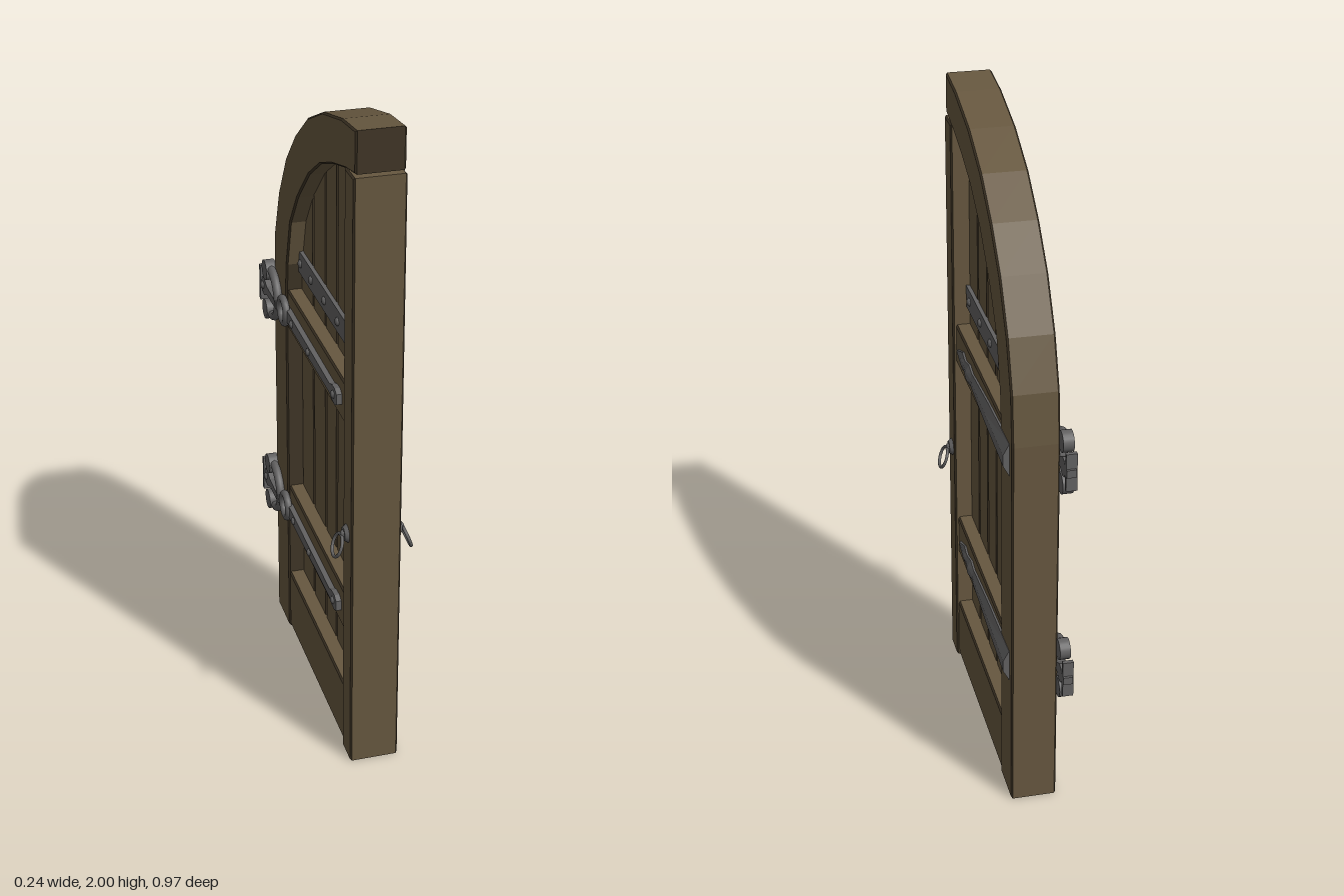
import * as THREE from 'three';

const wood = new THREE.MeshStandardMaterial({ color: 0x66573f });
wood.name = 'oak';
const darkWood = new THREE.MeshStandardMaterial({ color: 0x3f3526 });
darkWood.name = 'dark oak edge';
const iron = new THREE.MeshStandardMaterial({ color: 0x626161 });
iron.name = 'iron';

// Outlines are drawn as [u, y], where u runs from the latch side to the hinge side (u = -z).
const outer = [[-0.48, 2], [-0.347, 1.985], [-0.16, 1.937], [0, 1.863], [0.13, 1.767],
  [0.24, 1.656], [0.33, 1.513], [0.385, 1.365], [0.4, 1.21], [0.4, 0]];
const inner = [[-0.48, 1.88], [-0.39, 1.863], [-0.26, 1.826], [-0.135, 1.778], [-0.013, 1.7],
  [0.114, 1.58], [0.2, 1.465], [0.246, 1.31], [0.257, 1.21], [0.257, 0]];

const toShape = (pts) => new THREE.Shape(pts.map(([u, y]) => new THREE.Vector2(u, y)));
const rect = (u0, u1, y0, y1) => [[u0, y0], [u1, y0], [u1, y1], [u0, y1]];

function add(parent, name, geometry, material) {
  const mesh = new THREE.Mesh(geometry, material);
  mesh.name = name;
  parent.add(mesh);
  return mesh;
}

// Extrudes an outline across the door thickness, from x0 to x1
function slab(pts, x0, x1, bevel) {
  const geo = new THREE.ExtrudeGeometry(toShape(pts), {
    depth: x1 - x0 - 2 * bevel, bevelEnabled: bevel > 0, bevelThickness: bevel,
    bevelSize: bevel, bevelOffset: -bevel, bevelSegments: 1, curveSegments: 16,
  });
  geo.translate(0, 0, x0 + bevel);
  geo.rotateY(Math.PI / 2);
  return geo;
}

// Bevelled timber whose chamfers take the dark edge colour
function timber(parent, name, pts, half, darkEnd = false) {
  const geo = slab(pts, -half, half, 0.005);
  const n = geo.attributes.normal;
  geo.clearGroups();
  for (let i = 0; i < n.count; i += 3) {
    const nx = Math.abs(n.getX(i));
    const dark = (nx > 0.1 && nx < 0.95) || (darkEnd && n.getZ(i) > 0.98);
    geo.addGroup(i, 3, dark ? 1 : 0);
  }
  return add(parent, name, geo, [wood, darkWood]);
}

// Height of the arch underside at u
function archY(u) {
  for (let i = 1; i < 9; i++) {
    const [a, b] = [inner[i - 1], inner[i]];
    if (u <= b[0]) return a[1] + (b[1] - a[1]) * (u - a[0]) / (b[0] - a[0]);
  }
  return inner[8][1];
}

// Domed rivet on the face at x
function rivet(parent, x, y, z, r) {
  const m = add(parent, 'rivet', new THREE.SphereGeometry(r, 12, 8), iron);
  m.scale.x = 0.7;
  m.position.set(x, y, z);
}

// Tapered strap with a raised ridge and spear tip: stations of [u, half height, ridge x]
function spearStrap(parent, y) {
  const stations = [[-0.347, 0.002, 0.073], [-0.27, 0.03, 0.076], [-0.235, 0.018, 0.076],
    [-0.215, 0.022, 0.077], [-0.175, 0.033, 0.081], [-0.13, 0.022, 0.076], [-0.1, 0.026, 0.078],
    [0.1, 0.04, 0.083], [0.37, 0.05, 0.088]];
  const rows = stations.map(([u, h, x]) => [
    [0.064, -h, -u], [0.07, -h, -u], [x, -h * 0.35, -u],
    [x, h * 0.35, -u], [0.07, h, -u], [0.064, h, -u]]);
  const pos = [];
  const tri = (a, b, c) => pos.push(...a, ...b, ...c);
  for (let i = 0; i < rows.length - 1; i++) {
    for (let j = 0; j < 6; j++) {
      const k = (j + 1) % 6;
      tri(rows[i][j], rows[i + 1][j], rows[i + 1][k]);
      tri(rows[i][j], rows[i + 1][k], rows[i][k]);
    }
  }
  const first = rows[0], last = rows[rows.length - 1];
  for (let j = 1; j < 5; j++) {
    tri(first[0], first[j], first[j + 1]);
    tri(last[0], last[j + 1], last[j]);
  }
  const geo = new THREE.BufferGeometry();
  geo.setAttribute('position', new THREE.Float32BufferAttribute(pos, 3));
  geo.computeVertexNormals();
  add(parent, 'spearStrap', geo, iron).position.y = y;
}

// Scrolled hinge on the other face
function scrollHinge(parent, y) {
  const g = new THREE.Group();
  g.name = 'scrollHinge';
  g.position.y = y;
  parent.add(g);
  add(g, 'hingeStrap', slab([[-0.345, -0.016], [-0.325, -0.026], [-0.295, -0.024], [-0.27, -0.015],
    [0.22, -0.02], [0.22, 0.02], [-0.27, 0.015], [-0.295, 0.024], [-0.325, 0.026], [-0.345, 0.016]],
  -0.08, -0.063, 0), iron);
  for (const z of [0.31, 0.04, -0.15]) rivet(g, -0.08, 0, z, 0.012);

  const ring = add(g, 'hingeRing', new THREE.TorusGeometry(0.038, 0.012, 8, 24), iron);
  ring.rotation.y = Math.PI / 2;
  ring.position.set(-0.079, 0, -0.25);

  // Crescent scroll ending in two round lobes
  const curve = new THREE.CatmullRomCurve3([[0.075, -0.41], [0.07, -0.36], [0.04, -0.32], [0, -0.305],
    [-0.04, -0.32], [-0.07, -0.36], [-0.075, -0.41]].map(([v, z]) => new THREE.Vector3(-0.081, v, z)));
  add(g, 'crescent', new THREE.TubeGeometry(curve, 24, 0.014, 8), iron);
  for (const s of [1, -1]) {
    const lobe = add(g, 'scrollLobe', new THREE.CylinderGeometry(0.032, 0.032, 0.032, 20), iron);
    lobe.rotation.z = Math.PI / 2;
    lobe.position.set(-0.082, s * 0.066, -0.412);
  }
  // Flared centre leaf and cross bar
  add(g, 'centreLeaf', slab([[0.29, -0.012], [0.4, -0.014], [0.435, -0.03], [0.455, -0.024], [0.462, -0.012],
    [0.485, -0.012], [0.485, 0.012], [0.462, 0.012], [0.455, 0.024], [0.435, 0.03], [0.4, 0.014], [0.29, 0.012]],
  -0.094, -0.066, 0), iron);
  add(g, 'crossBar', slab(rect(0.463, 0.477, -0.058, 0.058), -0.098, -0.066, 0), iron);
  rivet(g, -0.094, 0, -0.445, 0.012);
}

export function createModel() {
  const door = new THREE.Group();
  door.name = 'archedDoor';

  // Frame
  timber(door, 'archAndHingeStile', [...inner].reverse().concat(outer), 0.069, true);
  timber(door, 'latchPost', rect(-0.48, -0.395, 0, 1.87), 0.0735);
  timber(door, 'bottomRail', rect(-0.395, 0.257, 0.008, 0.21), 0.066);
  for (const [y0, y1] of [[0.405, 0.535], [1.095, 1.222]]) {
    timber(door, 'crossRail', rect(-0.395, 0.257, y0, y1), 0.064);
  }

  // Planks, cut to tuck under the arch
  const seams = [-0.399, -0.268, -0.14, -0.019, 0.119, 0.261];
  for (let i = 0; i < 5; i++) {
    const u0 = seams[i] + 0.004, u1 = seams[i + 1] - 0.004;
    const pts = [[u0, 0.195], [u1, 0.195]];
    for (let k = 6; k >= 0; k--) {
      const u = u0 + (u1 - u0) * k / 6;
      pts.push([u, archY(u) + 0.025]);
    }
    timber(door, 'plank', pts, 0.02);
  }

  for (const s of [1, -1]) {
    // Riveted band across the planks
    const band = new THREE.Group();
    band.name = 'rivetedBand';
    door.add(band);
    const plate = add(band, 'bandPlate', new THREE.BoxGeometry(0.014, 0.07, 0.632), iron);
    plate.position.set(s * 0.025, 1.32, 0.072);
    for (const z of [0.34, 0.187, 0.045, -0.1, -0.22]) rivet(band, s * 0.032, 1.32, z, 0.013);

    // Ring pull
    const pull = new THREE.Group();
    pull.name = 'ringPull';
    pull.position.set(s * 0.074, 0.775, 0.435);
    door.add(pull);
    const boss = add(pull, 'pullBoss', new THREE.CylinderGeometry(0.02, 0.028, 0.012, 16), iron);
    boss.rotation.z = -s * Math.PI / 2;
    boss.position.x = s * 0.005;
    rivet(pull, s * 0.012, 0, 0, 0.012);
    const swing = new THREE.Group();
    swing.name = 'pullSwing';
    swing.position.set(s * 0.014, 0.005, 0);
    swing.rotation.z = s * 0.35;
    pull.add(swing);
    const ring = add(swing, 'pullRing', new THREE.TorusGeometry(0.034, 0.005, 8, 24), iron);
    ring.rotation.y = Math.PI / 2;
    ring.position.y = -0.042;
  }

  // Hinges
  for (const y of [0.469, 1.158]) {
    spearStrap(door, y);
    scrollHinge(door, y);
  }
  return door;
}
